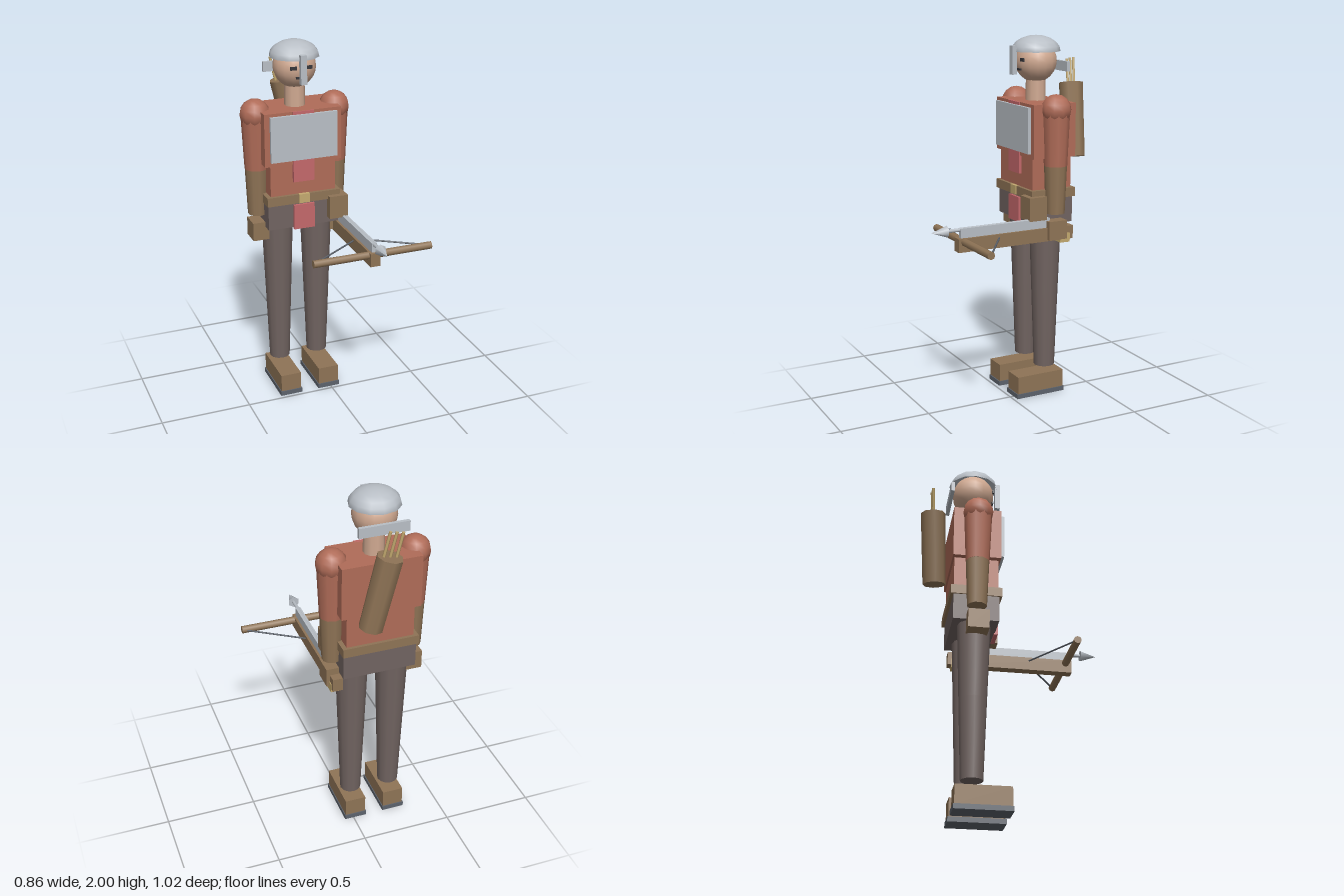
import * as THREE from 'three';

const mat = (name, color, side = THREE.FrontSide) => {
  const m = new THREE.MeshStandardMaterial({ color, side });
  m.name = name;
  return m;
};

export function createModel() {
  const tunic = mat('tunic', 0xb06c58);
  const leather = mat('leather', 0x8f7456);
  const trousers = mat('trousers', 0x716461);
  const skin = mat('skin', 0xd0a991);
  const steel = mat('steel', 0xb9bfc6, THREE.DoubleSide);
  const cloth = mat('cloth', 0xc4686b);
  const brass = mat('brass', 0xc4aa70);
  const iron = mat('iron', 0x5d636c);
  const dark = mat('dark', 0x35353a);

  const model = new THREE.Group();
  model.name = 'crossbowman';
  const body = new THREE.Group();
  body.name = 'body';
  body.position.set(-0.126, 0, -0.223);
  const crossbow = new THREE.Group();
  crossbow.name = 'crossbow';
  crossbow.position.x = 0.097;
  model.add(body, crossbow);

  const add = (parent, name, geo, material, x, y, z) => {
    const mesh = new THREE.Mesh(geo, material);
    mesh.name = name;
    mesh.position.set(x, y, z);
    parent.add(mesh);
    return mesh;
  };
  // box given by its size and centre
  const box = (parent, name, m, [w, h, d], [x, y, z]) =>
    add(parent, name, new THREE.BoxGeometry(w, h, d), m, x, y, z);
  // upright tapered cylinder between two heights
  const post = (parent, name, m, rTop, rBottom, y0, y1, x, z, sides = 12) =>
    add(parent, name, new THREE.CylinderGeometry(rTop, rBottom, y1 - y0, sides), m, x, (y0 + y1) / 2, z);
  // cylinder between two points
  const rod = (parent, name, m, a, b, rA, rB, sides) => {
    const p = new THREE.Vector3(...a), q = new THREE.Vector3(...b);
    const dir = q.clone().sub(p);
    const mid = p.clone().add(q).multiplyScalar(0.5);
    const mesh = add(parent, name, new THREE.CylinderGeometry(rB, rA, dir.length(), sides), m, mid.x, mid.y, mid.z);
    mesh.quaternion.setFromUnitVectors(new THREE.Vector3(0, 1, 0), dir.normalize());
    return mesh;
  };

  // torso and belt
  box(body, 'chest', tunic, [0.43, 0.29, 0.255], [0, 1.505, 0]);
  box(body, 'waist', tunic, [0.368, 0.18, 0.235], [0, 1.275, 0]);
  box(body, 'belt', leather, [0.416, 0.05, 0.27], [0, 1.162, 0]);
  box(body, 'hips', trousers, [0.40, 0.142, 0.24], [0, 1.067, 0]);
  box(body, 'buckle', brass, [0.062, 0.05, 0.02], [0, 1.163, 0.13]);
  box(body, 'pouch', leather, [0.106, 0.128, 0.105], [0.188, 1.094, 0.113]);
  box(body, 'chestPlate', steel, [0.373, 0.248, 0.017], [0, 1.51, 0.139]);
  box(body, 'tabard', cloth, [0.118, 0.39, 0.02], [0, 1.455, 0.125]);
  box(body, 'tabardSkirt', cloth, [0.118, 0.14, 0.02], [0, 1.057, 0.125]);

  // head and helmet
  post(body, 'neck', skin, 0.054, 0.056, 1.64, 1.77, 0, 0, 10);
  add(body, 'head', new THREE.SphereGeometry(0.115, 16, 12), skin, 0, 1.861, 0);
  for (const s of [-1, 1]) box(body, 'eye', dark, [0.036, 0.018, 0.009], [s * 0.042, 1.873, 0.106]);
  box(body, 'mouth', dark, [0.058, 0.011, 0.009], [0, 1.82, 0.107]);
  const dome = new THREE.SphereGeometry(0.134, 12, 5, 0, Math.PI * 2, 0, Math.PI / 2);
  dome.scale(1, 0.64, 1);
  add(body, 'helmet', dome, steel, 0, 1.914, 0);
  box(body, 'noseGuard', steel, [0.033, 0.154, 0.028], [0, 1.87, 0.137]);
  box(body, 'neckGuard', steel, [0.265, 0.054, 0.019], [0, 1.835, -0.128]);

  // arms and legs
  for (const s of [-1, 1]) {
    const ax = s * 0.224, lx = s * 0.113;
    add(body, 'shoulder', new THREE.SphereGeometry(0.083, 10, 8), tunic, ax, 1.62, 0);
    post(body, 'upperArm', tunic, 0.075, 0.063, 1.32, 1.6, ax, 0, 10);
    post(body, 'forearm', leather, 0.062, 0.052, 1.06, 1.32, ax, 0, 10);
    box(body, 'hand', leather, [0.09, 0.103, 0.11], [ax, 0.972, 0.005]);
    post(body, 'thigh', trousers, 0.088, 0.073, 0.585, 1.0, lx, 0);
    post(body, 'shin', trousers, 0.073, 0.058, 0.16, 0.585, lx, 0);
    box(body, 'boot', leather, [0.117, 0.1, 0.286], [lx, 0.075, 0.053]);
    box(body, 'sole', iron, [0.127, 0.026, 0.298], [lx, 0.013, 0.053]);
  }

  // quiver slung on the back, with three arrows along its axis
  const quiver = rod(model, 'quiver', leather,
    [-0.04, 1.333, -0.418], [-0.123, 1.733, -0.444], 0.064, 0.068, 8);
  for (const i of [-1, 0, 1]) {
    add(quiver, 'arrow', new THREE.CylinderGeometry(0.008, 0.008, 0.3, 6), brass, i * 0.034, 0.19, 0);
  }

  // crossbow
  box(crossbow, 'stock', leather, [0.054, 0.073, 0.686], [0, 0.95, 0.022]);
  box(crossbow, 'trigger', brass, [0.062, 0.05, 0.06], [0, 0.922, -0.27]);
  box(crossbow, 'rail', steel, [0.028, 0.054, 0.53], [0, 1.011, 0.081]);
  rod(crossbow, 'bow', leather, [-0.333, 0.968, 0.331], [0.333, 0.968, 0.331], 0.021, 0.021, 8);
  for (const s of [-1, 1]) {
    rod(crossbow, 'string', iron, [s * 0.31, 0.968, 0.318], [0, 0.968, 0.112], 0.005, 0.005, 6);
  }
  rod(crossbow, 'boltShaft', steel, [0, 1.03, -0.15], [0, 1.03, 0.43], 0.01, 0.01, 8);
  rod(crossbow, 'boltHead', steel, [0, 1.03, 0.42], [0, 1.03, 0.508], 0.032, 0, 6);

  return model;
}
